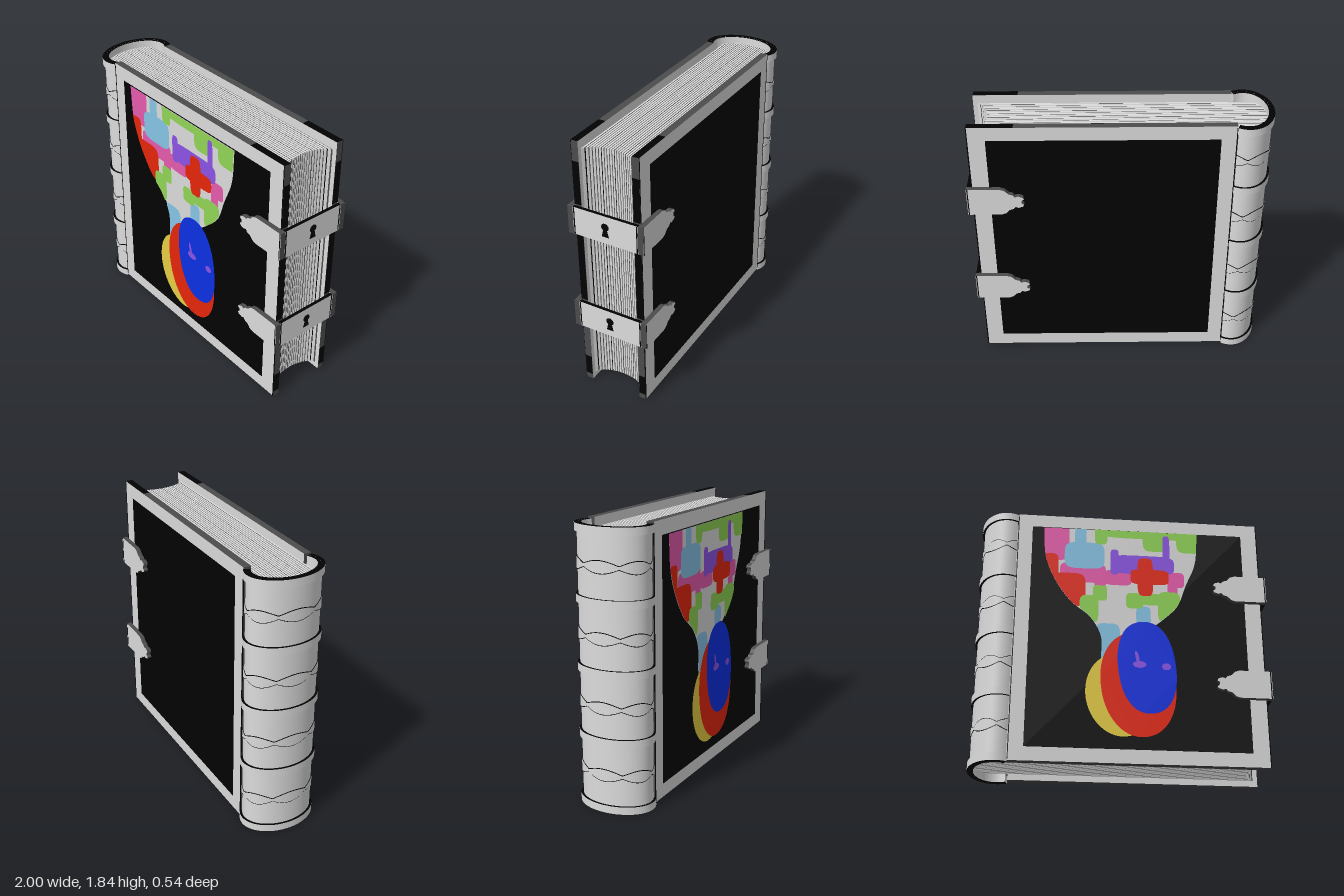
import * as THREE from 'three';
import { toCreasedNormals } from 'three/addons/utils/BufferGeometryUtils.js';

const mat = (name, color) => new THREE.MeshStandardMaterial({ name, color });

export function createModel() {
  const light = mat('light grey', 0xdcdcdc), black = mat('black', 0x020202), dark = mat('dark grey', 0x4c4c4c);
  const pink = mat('pink', 0xe85cae), red = mat('red', 0xe8260c), sky = mat('sky blue', 0x88c6e8);
  const green = mat('green', 0x92d556), purple = mat('purple', 0x8e54e8);
  const yellow = mat('yellow', 0xe8cf44), blue = mat('deep blue', 0x0a30e4);
  const book = new THREE.Group();
  book.name = 'book';

  const add = (name, geometry, material, parent = book) => {
    const m = new THREE.Mesh(geometry, material);
    m.name = name;
    parent.add(m);
    return m;
  };
  // box given by two opposite corners
  const box = (name, [x0, y0, z0], [x1, y1, z1], material, parent = book) => {
    const m = add(name, new THREE.BoxGeometry(x1 - x0, y1 - y0, Math.abs(z1 - z0)), material, parent);
    m.position.set((x0 + x1) / 2, (y0 + y1) / 2, (z0 + z1) / 2);
  };
  // footprint in x and -z, raised along y
  const raise = (shape, y0, y1) => new THREE.ExtrudeGeometry(shape, { depth: y1 - y0, bevelEnabled: false })
    .rotateX(-Math.PI / 2).translate(0, y0, 0);

  // Covers: dark edges, pale faces, black panel and worn black borders
  for (const s of [1, -1]) {
    const side = s > 0 ? 'front' : 'back';
    box(side + 'Cover', [-0.74, 0.01, s * 0.185], [0.967, 1.84, s * 0.235], [dark, dark, dark, dark, light, light]);
    box(side + 'Panel', [-0.64, 0.105, s * 0.23], [0.85, 1.745, s * 0.2375], black);
    for (const [y0, y1] of [[0.05, 0.2], [0.68, 1.2], [1.4, 1.7]])
      box(side + 'EdgeWear', [0.96, y0, s * 0.187], [0.969, y1, s * 0.234], black);
    box(side + 'TopWear', [0.67, 1.835, s * 0.187], [0.966, 1.842, s * 0.234], black);
    box(side + 'HingeLine', [-0.741, 0.02, s * 0.23], [-0.735, 1.83, s * 0.2365], black);
    box(side + 'BorderLine', [0.961, 0.01, s * 0.232], [0.967, 1.84, s * 0.2365], black);
  }

  // Spine: half-open elliptical ring
  const cx = -0.815, T = 1.99;
  const ring = (rx, rz, ix, iz) => {
    const pts = [], n = 60;
    const arc = (a, b, dir) => {
      for (let i = 0; i <= n; i++) {
        const t = dir * (-T + 2 * T * i / n);
        pts.push(new THREE.Vector2(cx - a * Math.cos(t), b * Math.sin(t)));
      }
    };
    arc(rx, rz, 1);
    arc(ix, iz, -1);
    return new THREE.Shape(pts);
  };
  const trim = [black, light];
  add('spine', toCreasedNormals(raise(ring(0.17, 0.245, 0.145, 0.215), 0, 1.83), 0.5), trim);
  for (const y of [0, 0.45, 0.895, 1.337, 1.78])
    add('spineBand', toCreasedNormals(raise(ring(0.185, 0.261, 0.16, 0.235), y, y + 0.0505), 0.5), trim);

  // Scalloped ornaments: pale strips wrapped round the spine over a black outline
  const scallop = (lift, margin) => {
    const g = new THREE.PlaneGeometry(2 * T, 2, 120, 1), p = g.attributes.position;
    for (let i = 0; i < p.count; i++) {
      const t = p.getX(i), h = 0.008 + margin + 0.03 * Math.abs(Math.cos(3 * t));
      p.setXYZ(i, cx - (0.17 + lift) * Math.cos(t), p.getY(i) * h, (0.245 + lift) * Math.sin(t));
    }
    g.computeVertexNormals();
    return g;
  };
  const strip = scallop(0.006, 0), stripOutline = scallop(0.004, 0.005);
  for (const y of [0.25, 0.695, 1.14, 1.585]) {
    add('spineOrnament', strip, light).position.y = y;
    add('spineOrnamentOutline', stripOutline, black).position.y = y;
  }

  // Pages: alternating slabs with a hollow fore-edge and rounded back
  const pages = new THREE.Group();
  pages.name = 'pages';
  book.add(pages);
  const back = z => cx - 0.146 * Math.sqrt(1 - (z / 0.217) ** 2);
  const fore = z => 0.86 + 0.1 * (1 - Math.sqrt(1 - (z / 0.19) ** 2));
  const slab = (name, z0, z1, inset, material) => {
    const s = new THREE.Shape([[back(z0), z0], [fore(z0) - inset, z0], [fore(z1) - inset, z1], [back(z1), z1]]
      .map(q => new THREE.Vector2(...q)));
    add(name, raise(s, 0.05 + inset, 1.78 - inset), material, pages);
  };
  const count = 22, step = 0.37 / count;
  for (let i = 0; i < count; i++) {
    const z = -0.185 + i * step;
    slab('pageBlock', z, z + step * 0.68, 0, light);
    slab('pageGap', z + step * 0.68, z + step, 0.002, i % 5 === 0 ? black : dark);
  }

  // Clasps: pointed plates on both covers joined by a strap with a keyhole
  const half = [[1, 0.098], [0.78, 0.098], [0.75, 0.088], [0.725, 0.062], [0.7, 0.055], [0.685, 0.038],
    [0.665, 0.045], [0.635, 0.035], [0.628, 0.02], [0.645, 0.01]];
  const outline = [...half, ...half.map(([x, y]) => [x, -y]).reverse()].map(q => new THREE.Vector2(...q));
  const plate = new THREE.ExtrudeGeometry(new THREE.Shape(outline), { depth: 0.038, bevelEnabled: false });
  plate.translate(0, 0, 0.232);
  const hole = new THREE.Shape();
  hole.moveTo(-0.026, -0.05);
  hole.lineTo(0.026, -0.05);
  hole.lineTo(0.014, 0);
  hole.absarc(0, 0.02, 0.027, -0.8, Math.PI + 0.8, false);
  hole.lineTo(-0.014, 0);
  for (const y of [0.577, 1.298]) {
    const clasp = new THREE.Group();
    clasp.name = 'clasp';
    clasp.position.y = y;
    book.add(clasp);
    add('frontClaspPlate', plate, [light, dark], clasp);
    add('backClaspPlate', plate, [light, dark], clasp).rotation.x = Math.PI;
    box('claspStrap', [0.975, -0.098, -0.232], [0.998, 0.098, 0.232], [light, black, black, black, light, light], clasp);
    const key = add('keyhole', new THREE.ShapeGeometry(hole, 16), black, clasp);
    key.rotation.y = Math.PI / 2;
    key.position.x = 1;
    for (const s of [1, -1]) {
      box('strapLine', [0.993, -0.095, s * 0.221], [1, 0.095, s * 0.228], black, clasp);
      box('claspLine', [0.989, -0.098, s * 0.265], [0.996, 0.098, s * 0.2705], black, clasp);
    }
  }

  // Cover picture, in hundredths of a unit; each patch lies just above the last
  const picture = new THREE.Group();
  picture.name = 'coverPicture';
  book.add(picture);
  const patch = (name, points, material) => {
    const shape = new THREE.Shape(points.map(([x, y]) => new THREE.Vector2(x / 100, Math.min(y, 174) / 100)));
    add(name, new THREE.ShapeGeometry(shape), material, picture).position.z = 0.2385 + picture.children.length * 0.0004;
  };
  // superellipse outline: power 1 is round, smaller is squarer
  const oval = (x, y, rx, ry, tilt, power) => Array.from({ length: 64 }, (_, i) => {
    const a = i * Math.PI / 32, c = Math.cos(a), s = Math.sin(a);
    const u = rx * Math.sign(c) * Math.abs(c) ** power, v = ry * Math.sign(s) * Math.abs(s) ** power;
    return [x + u * Math.cos(tilt) - v * Math.sin(tilt), y + u * Math.sin(tilt) + v * Math.cos(tilt)];
  });

  // Flared backdrop: a spline through left edge, height and right edge
  const flare = new THREE.CatmullRomCurve3([[-56, 174, 53], [-54, 150, 51], [-47, 132, 44], [-36, 116, 38],
    [-23, 105, 28], [-15, 90, 10], [-15, 74, -5]].map(q => new THREE.Vector3(...q))).getPoints(48);
  patch('flare', [...flare.map(f => [f.x, f.y]), ...flare.map(f => [f.z, f.y]).reverse()], light);
  const edge = (y, k) => {
    const h = THREE.MathUtils.clamp(y, 74, 174);
    const i = Math.max(1, flare.findIndex(f => f.y <= h));
    return THREE.MathUtils.mapLinear(h, flare[i - 1].y, flare[i].y, flare[i - 1][k], flare[i][k]);
  };

  // Paint drips: left, right, bottom, top, trimmed to the backdrop
  const drips = (name, material, list) => list.forEach(([x0, x1, y0, y1]) => {
    const o = oval((x0 + x1) / 2, (y0 + y1) / 2, (x1 - x0) / 2, (y1 - y0) / 2, 0, 0.45);
    patch(name, o.map(([x, y]) => [THREE.MathUtils.clamp(x, edge(y, 'x'), edge(y, 'z')), y]), material);
  });
  drips('pinkDrip', pink, [[-57, -38, 148, 184], [-44, -12, 131, 147], [-20, -12, 126, 140], [-13, 6, 130, 142],
    [31, 43, 130, 142], [31, 38, 117, 140]]);
  drips('redDrip', red, [[-56, -45, 128, 153], [-50, -26, 112, 138]]);
  drips('skyDrip', sky, [[-34, -26, 155, 184], [-41, -13, 142, 163], [-19, -2, 72, 100], [9, 19, 98, 114]]);
  drips('greenDrip', green, [[-20, 56, 168, 186], [-20, -11, 162, 182], [14, 31, 158, 182], [38, 56, 158, 182],
    [-30, -17, 100, 121], [-21, -11, 117, 129], [24, 40, 102, 126], [13, 28, 115, 124], [2, 14, 112, 124]]);
  drips('purpleDrip', purple, [[-9, -3, 138, 158], [-9, 36, 139, 154], [28, 33, 145, 171]]);
  drips('redDrip', red, [[5, 32, 131, 143], [10, 21, 122, 152]]);

  // Overlapping rounded forms below
  patch('yellowForm', oval(-2, 48, 23, 29.5, 0.15, 1), yellow);
  patch('redForm', oval(10, 56, 25, 37.5, 0.12, 0.95), red);
  patch('blueForm', oval(16, 68.5, 19.5, 33.5, 0.1, 0.88), blue);
  patch('purpleSpot', oval(11, 70, 4.5, 2.5, 0, 1), purple);
  patch('purpleStreak', oval(9.5, 75, 1.2, 5, 0.2, 1), purple);
  patch('purpleSpot', oval(29, 69, 3, 2.5, 0, 1), purple);

  return book;
}
